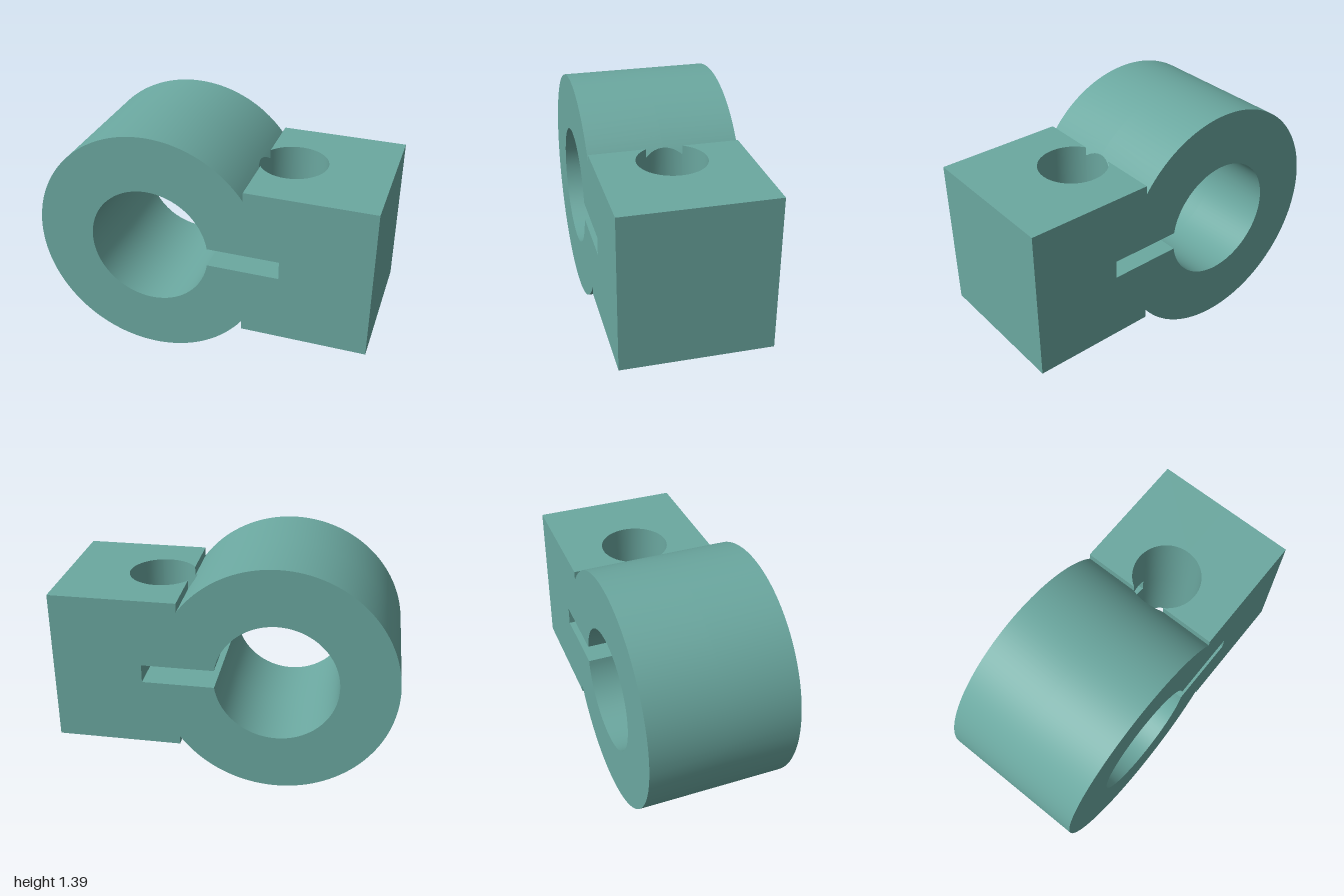
import * as THREE from 'three';
import { toCreasedNormals } from 'three/addons/utils/BufferGeometryUtils.js';

const MID = 0.695;                              // height of the symmetry plane
const DEPTH = 0.435;                            // half depth in z
const RING = { x: -0.305, outer: 0.695, inner: 0.36 };
const BLOCK = { left: 0.26, right: 1, h: 0.458 };
const SLOT = { end: 0.475, h: 0.055 };
const BOLT = { x: 0.43, r: 0.2 };               // vertical bolt hole

const ringY = (x, r) => Math.sqrt(Math.max(0, r * r - (x - RING.x) ** 2));
const boltHalfWidth = (x) => Math.sqrt(Math.max(0, BOLT.r ** 2 - (x - BOLT.x) ** 2));

// The clamp is symmetric in y and z: every triangle is mirrored into four quarters
function makeBuilder() {
  const pos = [];
  const tri = (a, b, c) => {
    for (const sy of [1, -1]) for (const sz of [1, -1]) {
      const order = sy * sz > 0 ? [a, b, c] : [a, c, b];
      for (const p of order) pos.push(p[0], MID + sy * p[1], sz * p[2]);
    }
  };
  const quad = (a, b, c, d) => { tri(a, b, c); tri(a, c, d); };
  return { pos, tri, quad };
}

function arc(r, from, to, n) {
  return Array.from({ length: n + 1 }, (_, i) => {
    const t = from + (to - from) * i / n;
    return [RING.x + r * Math.cos(t), r * Math.sin(t)];
  });
}

export function createModel() {
  const { pos, tri, quad } = makeBuilder();

  // Bolt hole angles, including where it meets the block edge and the slot end
  const angles = Array.from({ length: 25 }, (_, i) => i * Math.PI / 24);
  for (const x of [BLOCK.left, SLOT.end]) angles.push(Math.acos((x - BOLT.x) / BOLT.r));
  angles.sort((a, b) => a - b);
  const boltXs = angles.map((t) => BOLT.x + BOLT.r * Math.cos(t)).reverse();
  const eps = 1e-6;

  // Upper half of the outside: ring arc, step, block top, end wall
  const holeStart = Math.acos((BOLT.x - BOLT.r - RING.x) / RING.outer);
  const outer = [
    ...arc(RING.outer, Math.PI, holeStart, 48),
    ...boltXs.filter((x) => x > BOLT.x - BOLT.r + eps && x < BLOCK.left + eps)
      .map((x) => [x, ringY(x, RING.outer)]),
    [BLOCK.left, BLOCK.h],
    ...boltXs.filter((x) => x > BLOCK.left + eps).map((x) => [x, BLOCK.h]),
    [BLOCK.right, BLOCK.h], [BLOCK.right, 0],
  ];

  // Upper half of the inside: slot end, slot roof, bore arc
  const inner = [
    [SLOT.end, 0], [SLOT.end, SLOT.h],
    ...boltXs.filter((x) => x < SLOT.end - eps).reverse().map((x) => [x, SLOT.h]),
    ...arc(RING.inner, Math.asin(SLOT.h / RING.inner), Math.PI, 40),
  ];

  // Walls along z, left open where the bolt hole passes
  for (const path of [outer, inner]) {
    for (let i = 0; i + 1 < path.length; i++) {
      const [p, q] = [path[i], path[i + 1]];
      const [gp, gq] = [boltHalfWidth(p[0]), boltHalfWidth(q[0])];
      quad([...p, gp], [...p, DEPTH], [...q, DEPTH], [...q, gq]);
    }
  }

  // Flat front and back faces
  const outline = [...outer, ...inner].reverse().map(([x, y]) => new THREE.Vector2(x, y));
  for (const face of THREE.ShapeUtils.triangulateShape(outline, [])) {
    tri(...face.map((i) => [outline[i].x, outline[i].y, DEPTH]));
  }

  // Bolt hole wall, from the outer surface down to the slot or the middle
  for (let i = 0; i + 1 < angles.length; i++) {
    const [a, b] = [angles[i], angles[i + 1]]
      .map((t) => [BOLT.x + BOLT.r * Math.cos(t), BOLT.r * Math.sin(t)]);
    const midX = (a[0] + b[0]) / 2;
    const low = midX < SLOT.end ? SLOT.h : 0;
    const top = (x) => (midX > BLOCK.left ? BLOCK.h : ringY(x, RING.outer));
    quad([a[0], low, a[1]], [b[0], low, b[1]],
      [b[0], top(b[0]), b[1]], [a[0], top(a[0]), a[1]]);
  }

  const geometry = new THREE.BufferGeometry();
  geometry.setAttribute('position', new THREE.Float32BufferAttribute(pos, 3));
  const clamp = new THREE.Mesh(
    toCreasedNormals(geometry, 0.5),
    new THREE.MeshStandardMaterial({ color: 0x6ba8a0 }),
  );
  clamp.name = 'clampBody';

  const group = new THREE.Group();
  group.name = 'shaftClamp';
  group.add(clamp);
  return group;
}
